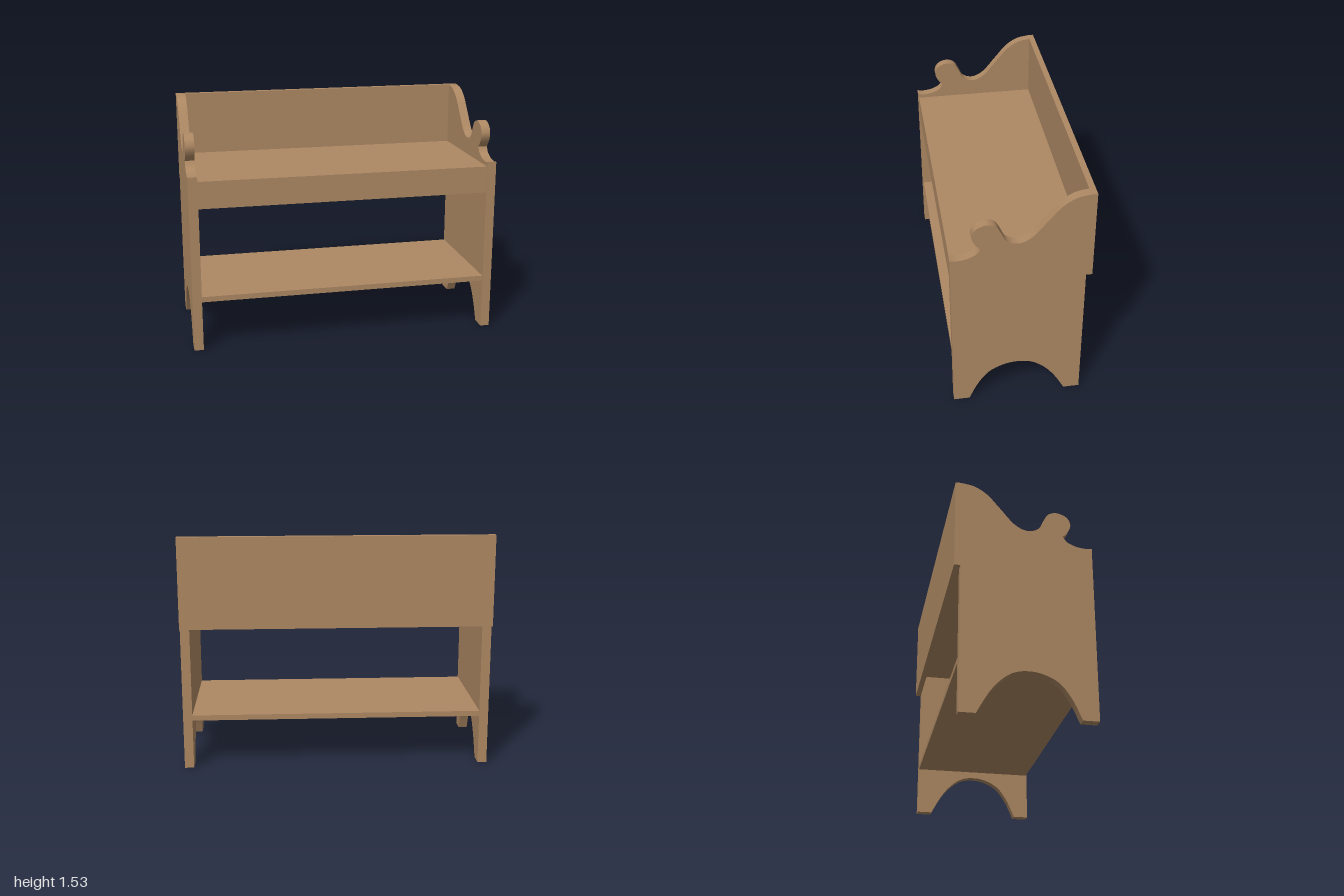
import * as THREE from 'three';
import { toCreasedNormals } from 'three/addons/utils/BufferGeometryUtils.js';

const points = (list) => list.map(([z, y]) => new THREE.Vector2(z, y));

// Side panel outline, drawn in z (across) and y (up)
function sideGeometry(thickness) {
  const s = new THREE.Shape();
  s.moveTo(-0.39, 0);
  s.lineTo(-0.29, 0);
  // arched cut-out between the feet
  s.splineThru(points([[-0.22, 0.125], [-0.15, 0.21], [-0.07, 0.265], [0.02, 0.28],
    [0.11, 0.265], [0.2, 0.215], [0.27, 0.12], [0.325, 0]]));
  s.lineTo(0.425, 0);
  s.lineTo(0.425, 1.145);
  // scoop in front of the knob
  s.splineThru(points([[0.38, 1.14], [0.32, 1.15], [0.27, 1.175], [0.245, 1.21]]));
  // round knob flowing into the hollow and up to the back
  s.splineThru(points([[0.28, 1.255], [0.294, 1.305], [0.27, 1.355], [0.21, 1.379],
    [0.155, 1.362], [0.125, 1.315], [0.09, 1.25], [0.02, 1.227], [-0.06, 1.265],
    [-0.15, 1.37], [-0.23, 1.462], [-0.31, 1.512], [-0.39, 1.527]]));
  s.lineTo(-0.39, 0);
  const g = new THREE.ExtrudeGeometry(s, { depth: thickness, bevelEnabled: false, curveSegments: 4 });
  g.rotateY(-Math.PI / 2);
  g.translate(thickness / 2, 0, 0);
  return toCreasedNormals(g, 0.6);
}

export function createModel() {
  const group = new THREE.Group();
  const wood = new THREE.MeshStandardMaterial({ color: 0xad8863 });
  wood.name = 'wood';

  const add = (name, geometry, x = 0, y = 0, z = 0) => {
    const mesh = new THREE.Mesh(geometry, wood);
    mesh.name = name;
    mesh.position.set(x, y, z);
    group.add(mesh);
  };
  // Board given by its x width and its y and z limits
  const board = (name, width, y0, y1, z0, z1) =>
    add(name, new THREE.BoxGeometry(width, y1 - y0, z1 - z0), 0, (y0 + y1) / 2, (z0 + z1) / 2);

  // Scrolled side panels
  const side = sideGeometry(0.06);
  add('leftSidePanel', side, 0.97);
  add('rightSidePanel', side, -0.97);

  // Boards between and behind the sides
  board('backBoard', 2, 0.94, 1.528, -0.428, -0.39);
  board('seat', 1.88, 1.08, 1.115, -0.39, 0.42);
  board('frontApron', 1.88, 0.94, 1.08, 0.385, 0.42);
  board('lowerShelf', 1.88, 0.325, 0.36, -0.39, 0.42);

  return group;
}
